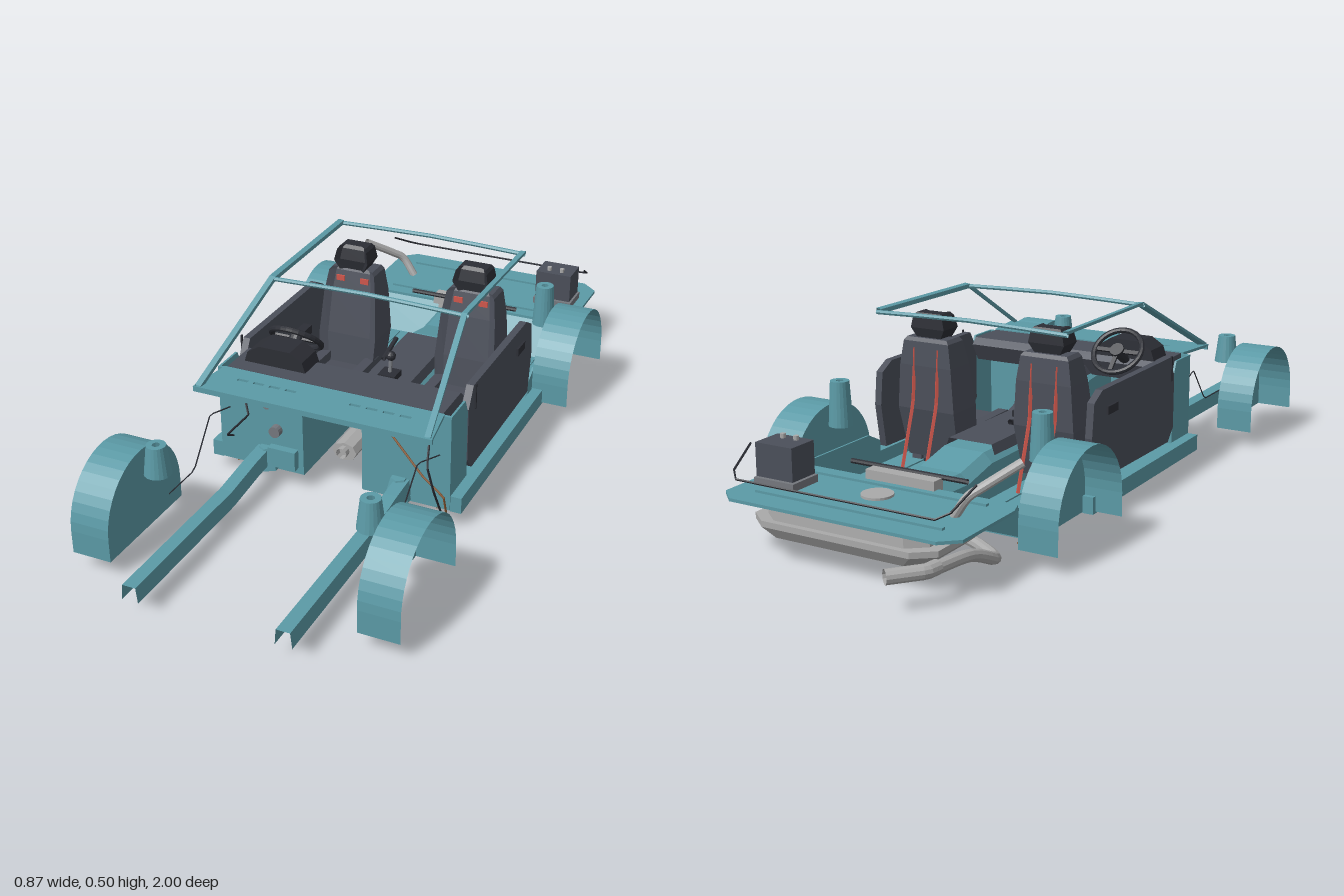
import * as THREE from 'three';

const mat = (color) => new THREE.MeshStandardMaterial({ color, side: THREE.DoubleSide, flatShading: true });
const TEAL = mat(0x5b9aa6), DARK = mat(0x4b4f5a), BLACK = mat(0x2c2e35), GREY = mat(0xaaaaaa),
  STEEL = mat(0x75787e), RED = mat(0xd0574c), BROWN = mat(0x8a5a34);
const V = (p) => new THREE.Vector3(...p);

export function createModel() {
  const model = new THREE.Group();
  const add = (name, geo, material, pos = [0, 0, 0], rot = [0, 0, 0]) => {
    const m = new THREE.Mesh(geo, material);
    m.name = name;
    m.position.set(...pos);
    m.rotation.set(...rot);
    model.add(m);
    return m;
  };
  const box = (name, size, pos, material, rot) => add(name, new THREE.BoxGeometry(...size), material, pos, rot);

  // Straight-segment pipe through a list of points
  const pipe = (name, pts, r, material, sides = 8) => {
    const path = new THREE.CurvePath();
    for (let i = 1; i < pts.length; i++) path.add(new THREE.LineCurve3(V(pts[i - 1]), V(pts[i])));
    return add(name, new THREE.TubeGeometry(path, (pts.length - 1) * 6, r, sides), material);
  };
  // Smoothly bent pipe
  const bent = (name, pts, r, material) =>
    add(name, new THREE.TubeGeometry(new THREE.CatmullRomCurve3(pts.map(V), false, 'centripetal'), 48, r, 10), material);

  // Open skin joining equal-length cross-sections
  const loft = (name, sections, material) => {
    const n = sections[0].length, index = [];
    for (let i = 0; i < sections.length - 1; i++)
      for (let j = 0; j < n - 1; j++) {
        const a = i * n + j, b = a + n;
        index.push(a, b, a + 1, b, b + 1, a + 1);
      }
    const g = new THREE.BufferGeometry();
    g.setAttribute('position', new THREE.Float32BufferAttribute(sections.flat(2), 3));
    g.setIndex(index);
    g.computeVertexNormals();
    return add(name, g, material);
  };
  const shape = (pts) => new THREE.Shape(pts.map(([x, y]) => new THREE.Vector2(x, y)));
  const prism = (s, depth) => new THREE.ExtrudeGeometry(s, { depth, bevelEnabled: false });
  // Plate drawn as (x, z), lying flat with its underside at y
  const flat = (name, s, y, thick, material) => add(name, prism(s, thick), material, [0, y + thick, 0], [Math.PI / 2, 0, 0]);
  // Plate drawn as (z, y), standing from x - t/2 to x + t/2
  const upright = (name, pts, x, t, material) =>
    add(name, prism(shape(pts), t), material, [x + t / 2, 0, 0], [0, -Math.PI / 2, 0]);

  // Firewall with tunnel opening
  add('firewall', prism(shape([[-0.33, 0.045], [-0.085, 0.045], [-0.085, 0.255], [-0.06, 0.28], [0.06, 0.28],
    [0.085, 0.255], [0.085, 0.045], [0.33, 0.045], [0.33, 0.315], [-0.33, 0.315]]), 0.008), TEAL, [0, 0, 0.335]);

  // Transmission tunnel
  const tunnel = [[0.34, 0.28], [0.2, 0.265], [0.1, 0.2], [0, 0.165], [-0.33, 0.165], [-0.44, 0.14], [-0.6, 0.145]];
  loft('tunnel', tunnel.map(([z, h]) => [[-0.085, 0.042], [-0.085, h - 0.025], [-0.06, h], [0.06, h],
    [0.085, h - 0.025], [0.085, 0.042]].map(([x, y]) => [x, y, z])), TEAL);
  loft('console', [[0.24, 0.285], [0.19, 0.275], [0.1, 0.213], [0, 0.178], [-0.3, 0.178]].map(([z, h]) =>
    [[-0.075, h - 0.03], [-0.065, h], [0.065, h], [0.075, h - 0.03]].map(([x, y]) => [x, y, z])), DARK);
  box('gearBoot', [0.05, 0.02, 0.05], [0, 0.185, -0.02], BLACK);
  pipe('gearLever', [[0, 0.18, -0.02], [0, 0.235, -0.03]], 0.006, STEEL);
  add('gearKnob', new THREE.SphereGeometry(0.014, 10, 8), BLACK, [0, 0.24, -0.03]);
  pipe('handbrake', [[-0.055, 0.185, -0.1], [-0.055, 0.21, -0.19]], 0.007, BLACK);

  // Cowl with vent slots
  const cowl = shape([[-0.31, 0.34], [0.31, 0.34], [0.33, 0.47], [-0.33, 0.47]]);
  for (const s of [-1, 1]) for (let i = 0; i < 4; i++) {
    const x = s * (0.09 + i * 0.046);
    cowl.holes.push(new THREE.Path([[-0.015, 0.387], [-0.015, 0.397], [0.015, 0.397], [0.015, 0.387]]
      .map(([dx, z]) => new THREE.Vector2(x + dx, z))));
  }
  flat('cowl', cowl, 0.312, 0.008, TEAL);
  box('cowlLip', [0.66, 0.014, 0.008], [0, 0.312, 0.466], TEAL);

  // Dashboard, instrument hood and steering wheel
  upright('dashboard', [[0.335, 0.318], [0.22, 0.318], [0.2, 0.3], [0.23, 0.25], [0.335, 0.24]], 0, 0.61, DARK);
  add('instrumentHood', prism(shape([[-0.09, 0], [0.09, 0], [0.08, 0.03], [0.045, 0.052], [-0.045, 0.052], [-0.08, 0.03]]), 0.08),
    BLACK, [-0.19, 0.316, 0.21]);
  const wheel = new THREE.Group();
  wheel.name = 'steeringWheel';
  wheel.position.set(-0.19, 0.345, 0.165);
  wheel.rotation.x = 0.8;
  const part = (g) => { const m = new THREE.Mesh(g, BLACK); wheel.add(m); return m; };
  part(new THREE.TorusGeometry(0.07, 0.008, 8, 28));
  part(new THREE.CylinderGeometry(0.02, 0.02, 0.02, 14)).rotation.x = Math.PI / 2;
  for (const a of [0, Math.PI, -Math.PI / 2]) {
    const m = part(new THREE.BoxGeometry(0.06, 0.012, 0.006));
    m.position.set(Math.cos(a) * 0.038, Math.sin(a) * 0.038, 0);
    m.rotation.z = a;
  }
  model.add(wheel);
  pipe('steeringColumn', [[-0.19, 0.34, 0.17], [-0.19, 0.28, 0.26]], 0.014, BLACK);

  for (const s of [-1, 1]) {
    // Floor pan with ribs, sill and side panels
    box('floor', [0.245, 0.006, 0.88], [s * 0.2075, 0.045, -0.1], TEAL);
    for (const x of [0.13, 0.2, 0.25]) box('floorRib', [0.014, 0.014, 0.8], [s * x, 0.045, -0.13], TEAL);
    upright('sill', [[0.34, 0.04], [0.34, 0.085], [-0.3, 0.085], [-0.3, 0.04]], s * 0.345, 0.03, TEAL);
    upright('kickPanel', [[0.34, 0.045], [0.34, 0.315], [0.25, 0.315], [0.23, 0.27], [0.23, 0.045]], s * 0.327, 0.006, TEAL);
    upright('rearSidePanel', [[-0.25, 0.045], [-0.25, 0.12], [-0.3, 0.145], [-0.6, 0.145], [-0.54, 0.045]], s * 0.325, 0.006, TEAL);

    // Front chassis rail, an inverted channel
    loft('frontRail', [[1, 0.045], [0.55, 0.045], [0.42, 0.06], [0.335, 0.065]].map(([z, y]) =>
      [[-0.022, 0], [-0.018, 0.042], [0.018, 0.042], [0.022, 0]].map(([x, dy]) => [s * 0.2 + x, y + dy, z])), TEAL);
    add('railSocket', new THREE.CylinderGeometry(0.022, 0.038, 0.06, 6), TEAL, [s * 0.19, 0.08, 0.345]);

    // Wheel arches and suspension towers
    for (const [zc, towerX, towerZ, towerY, rB, rT] of [[0.725, 0.285, 0.72, 0.253, 0.035, 0.025], [-0.45, 0.3, -0.45, 0.275, 0.032, 0.025]]) {
      const arc = [[zc + 0.163, 0.045]];
      for (let i = 0; i <= 20; i++) {
        const a = i / 20 * Math.PI;
        arc.push([zc + Math.cos(a) * 0.163, 0.107 + Math.sin(a) * 0.163]);
      }
      arc.push([zc - 0.163, 0.045]);
      loft('wheelArch', [0.328, 0.434].map((x) => arc.map(([z, y]) => [s * x, y, z])), TEAL);
      upright('archInnerWall', arc, s * 0.329, 0.003, TEAL);
      const h = zc > 0 ? 0.08 : 0.12;
      add('suspensionTower', new THREE.CylinderGeometry(rT, rB, h, 20, 1, true), TEAL, [s * towerX, towerY, towerZ]);
      add('towerCap', new THREE.RingGeometry(0.01, rT, 20), TEAL, [s * towerX, towerY + h / 2, towerZ], [-Math.PI / 2, 0, 0]);
    }

    // Door with handle and armrest
    upright('door', [[0.2, 0.095], [0.232, 0.13], [0.232, 0.28], [0.2, 0.335], [-0.2, 0.335], [-0.245, 0.31],
      [-0.255, 0.22], [-0.235, 0.1]], s * 0.322, 0.02, DARK);
    box('doorHandle', [0.008, 0.022, 0.055], [s * 0.334, 0.277, -0.15], BLACK);
    box('armrest', [0.03, 0.025, 0.16], [s * 0.3, 0.23, -0.03], BLACK);

    // Seat
    const x = s * 0.18;
    upright('seatCushion', [[0.08, 0.07], [0.085, 0.13], [0.06, 0.148], [-0.17, 0.13], [-0.17, 0.06]], x, 0.14, DARK);
    for (const e of [-1, 1]) {
      upright('seatBolster', [[0.07, 0.06], [0.075, 0.145], [0.05, 0.165], [-0.17, 0.16], [-0.18, 0.06]], x + e * 0.07, 0.03, DARK);
      box('seatRunner', [0.012, 0.025, 0.24], [x + e * 0.055, 0.058, -0.04], BLACK);
      // Belts through the backrest slots
      const bx = x + e * 0.037;
      box('beltSlot', [0.026, 0.016, 0.008], [bx, 0.382, -0.166], RED);
      pipe('belt', [[bx, 0.388, -0.228], [bx, 0.24, -0.24], [bx, 0.06, -0.3]], 0.0055, RED, 4);
    }
    const backRow = (y, w, zf, zb) => [[-w, y, zb], [-w, y, zf + 0.012], [-w * 0.75, y, zf], [w * 0.75, y, zf],
      [w, y, zf + 0.012], [w, y, zb], [-w, y, zb]].map(([px, py, pz]) => [x + px, py, pz]);
    const rowTip = (y, z) => Array.from({ length: 7 }, () => [x, y, z]);
    loft('seatBack', [rowTip(0.08, -0.16), backRow(0.08, 0.08, -0.12, -0.2), backRow(0.22, 0.088, -0.135, -0.235),
      backRow(0.34, 0.08, -0.155, -0.235), backRow(0.405, 0.07, -0.17, -0.23), backRow(0.415, 0.062, -0.175, -0.225),
      rowTip(0.415, -0.2)], DARK);
    loft('headrest', [rowTip(0.412, -0.195), backRow(0.412, 0.036, -0.17, -0.215), backRow(0.44, 0.052, -0.165, -0.222),
      backRow(0.472, 0.045, -0.172, -0.22), backRow(0.481, 0.038, -0.18, -0.215), rowTip(0.481, -0.2)], BLACK);

    // Windscreen pillar and roof rail
    loft('windscreenPillar', [[0.325, 0.316, 0.467], [0.283, 0.49, 0.13], [0.287, 0.492, -0.3]].map(([px, y, z]) =>
      [[0, 0], [-0.016, -0.006], [-0.016, 0.006], [0, 0.008], [0, 0]].map(([dx, dy]) => [s * (px + dx), y + dy, z])), TEAL);
    box('mirrorStay', [0.004, 0.07, 0.006], [s * 0.338, 0.305, 0.2], BLACK);
    pipe('brakeLine', [[s * 0.285, 0.13, 0.68], [s * 0.285, 0.13, 0.56], [s * 0.29, 0.24, 0.46], [s * 0.3, 0.2, 0.34]], 0.002, BLACK, 4);
    pipe('underfloorLine', [[s * 0.29, 0.034, 0.33], [s * 0.29, 0.034, -0.55]], 0.003, BROWN, 4);
  }
  for (const z of [0.13, -0.3])
    pipe('roofBow', [[-0.285, 0.489, z], [-0.15, 0.493, z], [0, 0.496, z], [0.15, 0.493, z], [0.285, 0.489, z]], 0.006, TEAL, 6);

  // Rear bulkhead and deck
  loft('rearBulkhead', [[0.045, -0.54], [0.145, -0.605]].map(([y, z]) => [[0.09, y, z], [0.325, y, z]]), TEAL);
  loft('rearBulkhead', [[0.045, -0.54], [0.145, -0.605]].map(([y, z]) => [[-0.325, y, z], [-0.09, y, z]]), TEAL);
  flat('rearDeck', shape([[-0.32, -0.6], [-0.335, -0.64], [-0.335, -0.86], [-0.29, -0.9], [0.29, -0.9],
    [0.335, -0.86], [0.335, -0.64], [0.32, -0.6]]), 0.143, 0.008, TEAL);
  for (const z of [-0.645, -0.83]) box('deckRib', [0.53, 0.008, 0.012], [0, 0.153, z], TEAL);
  add('deckCap', new THREE.CylinderGeometry(0.04, 0.04, 0.006, 24), GREY, [0, 0.154, -0.71]);
  box('rearBracket', [0.2, 0.03, 0.04], [0, 0.16, -0.6], GREY);
  pipe('rearRod', [[-0.17, 0.175, -0.58], [0.17, 0.175, -0.58]], 0.007, BLACK);
  pipe('trunkBar', [[-0.32, 0.25, -0.78], [-0.3, 0.195, -0.885], [0.3, 0.195, -0.885], [0.32, 0.25, -0.78]], 0.003, BLACK, 5);

  // Battery
  box('battery', [0.11, 0.085, 0.085], [0.245, 0.215, -0.745], DARK);
  box('batteryTray', [0.12, 0.02, 0.095], [0.245, 0.16, -0.745], STEEL);
  for (const x of [0.225, 0.265]) add('batteryPost', new THREE.CylinderGeometry(0.007, 0.007, 0.014, 8), GREY, [x, 0.262, -0.725]);

  // Fuel tank under the deck
  const tankRow = (y, k) => [[-0.25, -0.68], [-0.18, -0.62], [0.18, -0.62], [0.25, -0.68], [0.25, -0.84], [0.2, -0.88],
    [-0.2, -0.88], [-0.25, -0.84], [-0.25, -0.68]].map(([x, z]) => [x * k, y, -0.75 + (z + 0.75) * k]);
  loft('fuelTank', [tankRow(0.142, 0.9), tankRow(0.105, 0.92), tankRow(0.105, 1.04), tankRow(0.09, 1.04),
    tankRow(0.062, 0.9), tankRow(0.062, 0)], GREY);
  for (const s of [-1, 1]) box('tankPad', [0.12, 0.004, 0.09], [s * 0.1, 0.061, -0.75], DARK);
  bent('fillerPipe', [[-0.365, 0.275, -0.655], [-0.3, 0.225, -0.72], [-0.275, 0.205, -0.74], [-0.235, 0.15, -0.74]], 0.012, GREY);

  // Exhaust
  add('catalyst', new THREE.CylinderGeometry(0.036, 0.036, 0.16, 8).scale(1, 1, 0.75), GREY, [-0.045, 0.036, 0.1], [Math.PI / 2, 0, 0]);
  bent('exhaustPipe', [[-0.045, 0.04, 0.2], [-0.045, 0.035, 0], [-0.045, 0.03, -0.4], [-0.07, 0.02, -0.5], [-0.2, 0.0155, -0.57],
    [-0.275, 0.02, -0.63], [-0.28, 0.065, -0.74], [-0.28, 0.085, -0.9]], 0.0155, GREY);
  pipe('exhaustTip', [[-0.28, 0.085, -0.88], [-0.275, 0.085, -0.915], [-0.215, 0.085, -0.987]], 0.018, GREY, 12);

  // Firewall fittings, hoses and pedal box
  box('pedalBox', [0.08, 0.055, 0.03], [-0.14, 0.09, 0.35], TEAL);
  for (const [x, y, r] of [[-0.16, 0.165, 0.016], [-0.18, 0.24, 0.01]])
    add('grommet', new THREE.CylinderGeometry(r, r, 0.025, 14), STEEL, [x, y, 0.35], [Math.PI / 2, 0, 0]);
  pipe('hose', [[-0.26, 0.31, 0.35], [-0.2, 0.24, 0.42], [-0.28, 0.15, 0.4], [-0.29, 0.12, 0.35]], 0.003, BLACK, 5);
  pipe('hose', [[0.165, 0.24, 0.35], [0.26, 0.14, 0.36], [0.32, 0.09, 0.36], [0.32, 0.03, 0.34]], 0.003, BROWN, 5);
  pipe('cable', [[0.28, 0.31, 0.35], [0.31, 0.23, 0.45], [0.32, 0.15, 0.43], [0.31, 0.035, 0.35]], 0.003, BLACK, 5);
  return model;
}
